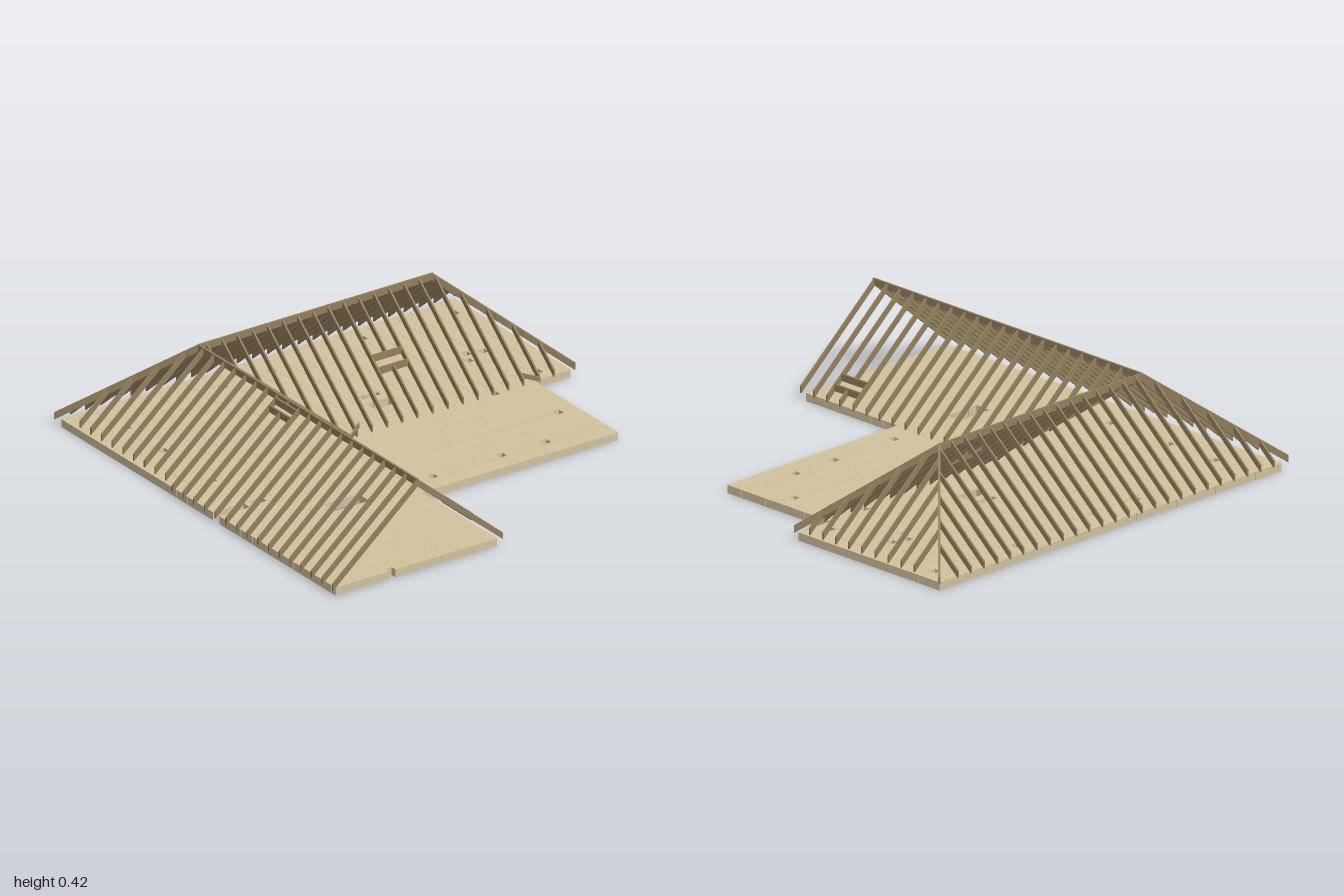
import * as THREE from 'three';

const floorMat = new THREE.MeshStandardMaterial({ color: 0xd4c4a0, flatShading: true });
const woodMat = new THREE.MeshStandardMaterial({ color: 0x94805f, flatShading: true });

const EAVE_Y = 0.065, RIDGE_Y = 0.42, HALF = 0.42, DEPTH = 0.03, THICK = 0.008;
const roofY = (d) => EAVE_Y + (RIDGE_Y - EAVE_Y) * d / HALF;

// Beam with plumb-cut ends; a and b lie on its top edge
function beam(name, a, b, thick = THICK, depth = DEPTH) {
  const dx = b[0] - a[0], dy = b[1] - a[1], dz = b[2] - a[2];
  const run = Math.hypot(dx, dz);
  const geo = new THREE.BoxGeometry(run, depth, thick);
  const p = geo.attributes.position;
  for (let i = 0; i < p.count; i++) p.setY(i, p.getY(i) + p.getX(i) * dy / run);
  geo.computeVertexNormals();
  const mesh = new THREE.Mesh(geo, woodMat);
  mesh.rotation.y = Math.atan2(-dz, dx);
  mesh.position.set((a[0] + b[0]) / 2, (a[1] + b[1]) / 2 - depth / 2, (a[2] + b[2]) / 2);
  mesh.name = name;
  return mesh;
}

// Rectangles are [x0, x1, z0, z1]; returns r with every hole removed
function cutRect(r, holes) {
  let parts = [r];
  for (const h of holes) {
    parts = parts.flatMap(([x0, x1, z0, z1]) => {
      const a = Math.max(x0, h[0]), b = Math.min(x1, h[1]);
      const c = Math.max(z0, h[2]), d = Math.min(z1, h[3]);
      if (a >= b || c >= d) return [[x0, x1, z0, z1]];
      return [[x0, a, z0, z1], [b, x1, z0, z1], [a, b, z0, c], [a, b, d, z1]]
        .filter((q) => q[1] - q[0] > 1e-4 && q[3] - q[2] > 1e-4);
    });
  }
  return parts;
}

// Small service holes, given by their centres
const smallHoles = [
  [-0.86, -0.9], [-0.22, -0.86], [-0.88, -0.46], [-0.84, 0.02], [-0.84, 0.26], [-0.75, 0.8],
  [-0.49, 0.8], [0.14, -0.71], [0.335, -0.51], [0.335, -0.29], [0.335, 0.05], [-0.5, -0.79],
  [-0.465, -0.69], [-0.52, -0.72], [0.95, 0.69], [-0.15, 0.8], [-0.15, -0.6],
].map(([x, z]) => [x - 0.017, x + 0.017, z - 0.016, z + 0.016]);
const holes = [
  [0.3, 0.375, 0.39, 0.56], [0.1, 0.145, 0.82, 0.98], [0.1, 0.135, 0.73, 0.79],
  [-0.44, -0.41, -0.22, -0.13], [-0.37, -0.31, -0.23, -0.12], ...smallHoles,
];

// Plank deck filling a rectangle, boards running along x or z
function deck(name, [x0, x1, z0, z1], alongX) {
  const group = new THREE.Group();
  group.name = name;
  const lo = alongX ? z0 : x0, hi = alongX ? z1 : x1;
  const n = Math.round((hi - lo) / 0.075), w = (hi - lo) / n;
  const start = alongX ? x0 : z0, end = alongX ? x1 : z1;
  for (let i = 0; i < n; i++) {
    const c = lo + i * w;
    const joint = start + (end - start) * (0.3 + 0.4 * ((i * 0.618) % 1));
    for (const [s, e] of [[start, joint], [joint, end]]) {
      const board = alongX ? [s, e, c, c + w] : [c, c + w, s, e];
      for (const [a, b, f, g] of cutRect(board, holes)) {
        const mesh = new THREE.Mesh(new THREE.BoxGeometry(b - a - 0.0008, 0.035, g - f - 0.0008), floorMat);
        mesh.position.set((a + b) / 2, 0.0175, (f + g) / 2);
        mesh.name = 'floorBoard';
        group.add(mesh);
      }
    }
  }
  return group;
}

// Roof planes: at(s, d) gives the plan point at s along the eave, d inward from it
const L = -0.98, R = -0.14, F = 0.995, B = -1, N = 0.155;
const RX = -0.56, RZ = 0.575;
const slopes = [
  { name: 'leftSlope', at: (s, d) => [L + d, s], from: -0.96, to: 0.98, low: () => 0,
    high: (s) => Math.min(HALF, s - B, F - s) },
  { name: 'rightSlope', at: (s, d) => [R - d, s], from: -0.96, to: 0.57,
    low: (s) => Math.max(0, s - N), high: (s) => Math.min(HALF, s - B),
    opening: [-0.285, -0.135, 0.175, 0.22] },
  { name: 'frontSlope', at: (s, d) => [s, F - d], from: -0.895, to: 0.98,
    low: (s) => (s < -0.2 ? 0.02 : 0), high: (s) => Math.min(HALF, s - L),
    opening: [0, 0.15, 0.375, 0.405] },
  { name: 'innerSlope', at: (s, d) => [s, N + d], from: -0.52, to: 0.98,
    low: (s) => Math.max(0, R - s), high: () => HALF,
    opening: [0.675, 0.825, 0.045, 0.085] },
  { name: 'backHipSlope', at: (s, d) => [s, B + 0.005 + d], from: -0.895, to: -0.17, low: () => 0.01,
    high: (s) => Math.min(s - L, R - s) },
];

function buildSlope({ name, at, from, to, low, high, opening }) {
  const group = new THREE.Group();
  group.name = name;
  const point = (s, d) => { const [x, z] = at(s, d); return [x, roofY(d), z]; };
  // Rafters sit on a common 0.075 module
  for (let k = Math.ceil(from / 0.075 - 0.01); k * 0.075 <= to; k++) {
    const s = k * 0.075 + (name === 'leftSlope' || name === 'rightSlope' ? 0.012 : 0);
    const a = low(s), b = high(s);
    const cut = opening && s > opening[0] + 0.02 && s < opening[1] - 0.02;
    const runs = cut ? [[a, opening[2]], [opening[3], b]] : [[a, b]];
    for (const [d0, d1] of runs) {
      if (d1 - d0 > 0.01) group.add(beam('rafter', point(s, d0), point(s, d1)));
    }
  }
  // Header boards closing the opening
  if (opening) {
    for (const d of [opening[2], opening[3]]) {
      group.add(beam('header', point(opening[0], d), point(opening[1], d), 0.009));
    }
  }
  return group;
}

export function createModel() {
  const model = new THREE.Group();
  model.name = 'roofFramingOnDeck';

  // Floor decks
  model.add(
    deck('mainDeck', [-0.965, -0.155, -0.98, 0.97], true),
    deck('middleDeck', [-0.155, 0.435, -0.8, 0.17], false),
    deck('sideDeck', [-0.155, 0.96, 0.17, 0.97], false),
  );

  // Rafters
  for (const slope of slopes) model.add(buildSlope(slope));

  // Ridges, hips and valley
  const backEnd = [RX, RIDGE_Y, -0.58], corner = [RX, RIDGE_Y, RZ];
  model.add(
    beam('mainRidge', backEnd, corner, 0.01),
    beam('sideRidge', corner, [0.98, RIDGE_Y, RZ], 0.01),
    beam('frontLeftHip', [-0.98, EAVE_Y, 0.995], corner, 0.01),
    beam('backLeftHip', [-0.98, EAVE_Y, -0.995], backEnd, 0.01),
    beam('backRightHip', [-0.145, EAVE_Y, -0.995], backEnd, 0.01),
    beam('valley', [-0.125, EAVE_Y, 0.135], corner, 0.01),
  );

  // Short valley stubs beside the middle deck
  model.add(
    beam('frontStub', [-0.12, 0.06, 0.135], [-0.16, 0.085, 0.065], THICK, 0.02),
    beam('backStub', [-0.125, 0.06, -0.81], [-0.165, 0.085, -0.735], THICK, 0.02),
  );
  return model;
}
